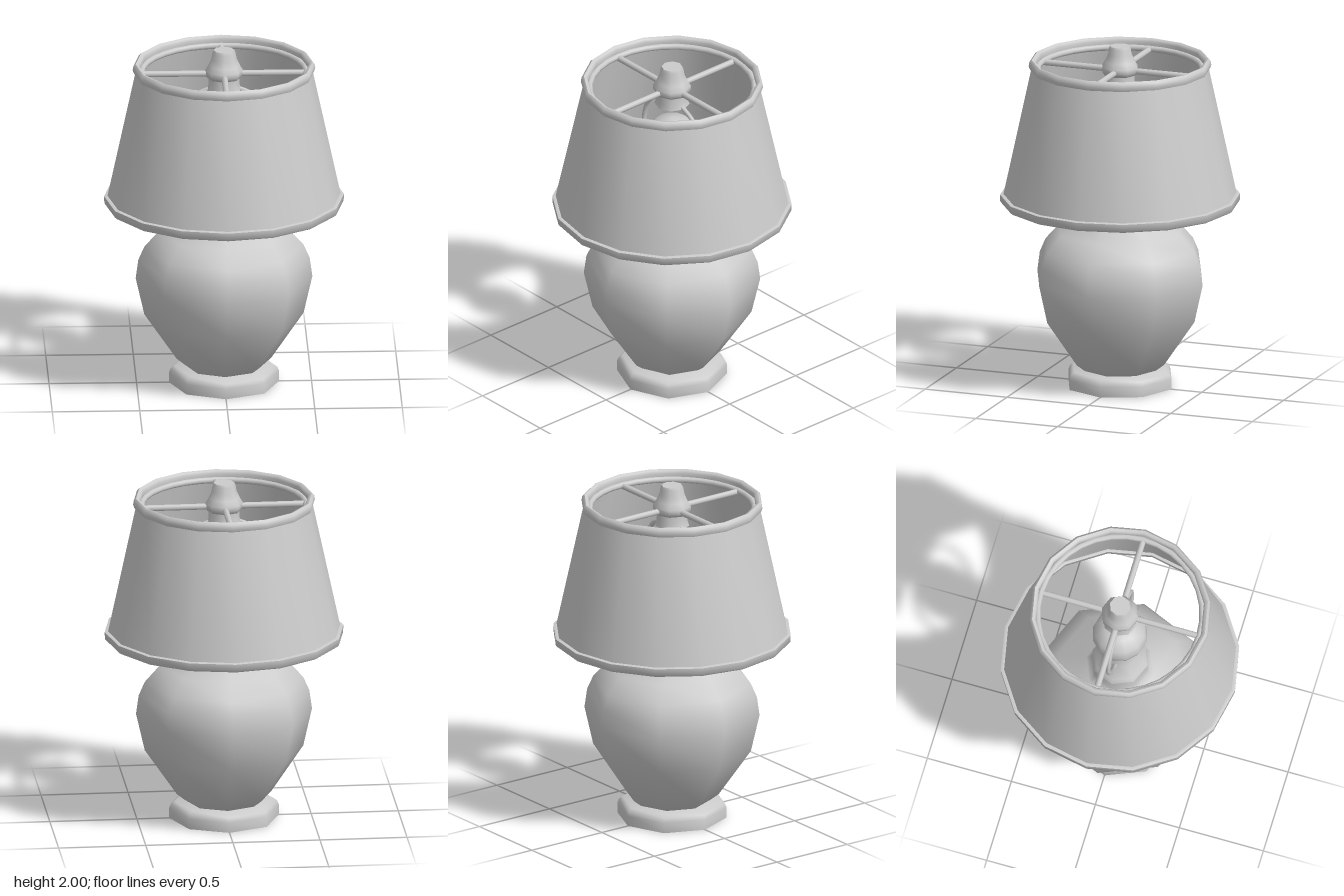
import * as THREE from 'three';
import { toCreasedNormals } from 'three/addons/utils/BufferGeometryUtils.js';

export function createModel() {
  const lamp = new THREE.Group();
  lamp.name = 'tableLamp';
  const grey = new THREE.MeshStandardMaterial({ color: 0xcccccc });
  const thin = new THREE.MeshStandardMaterial({ color: 0xcccccc, side: THREE.DoubleSide });

  const add = (name, geometry, material = grey) => {
    const mesh = new THREE.Mesh(geometry, material);
    mesh.name = name;
    lamp.add(mesh);
    return mesh;
  };
  // Turned part from a [radius, height] profile, listed bottom to top on the outside
  const turn = (name, profile, sides, material) => {
    const points = profile.map(([r, y]) => new THREE.Vector2(r, y));
    return add(name, toCreasedNormals(new THREE.LatheGeometry(points, sides), 1.05), material);
  };

  // Octagonal foot and vase body
  turn('base', [[0, 0], [0.315, 0], [0.315, 0.06], [0.305, 0.085], [0.285, 0.1], [0, 0.1]], 8);
  turn('body', [
    [0.2, 0.09], [0.225, 0.105], [0.27, 0.14], [0.455, 0.41], [0.505, 0.63], [0.49, 0.74],
    [0.455, 0.82], [0.37, 0.915], [0.2, 1.0], [0.175, 1.025], [0.165, 1.06], [0.165, 1.13],
  ], 8);

  // Socket and bulb
  turn('socket', [[0.165, 1.13], [0.15, 1.16], [0.1, 1.23], [0.1, 1.39], [0, 1.39]], 8);
  turn('bulb', [
    [0.08, 1.38], [0.1, 1.41], [0.145, 1.47], [0.16, 1.53], [0.145, 1.6], [0.09, 1.65], [0, 1.67],
  ], 12);

  // Harp: a wire loop from the socket up to the hub
  const half = [[0.09, 1.27], [0.14, 1.31], [0.22, 1.46], [0.24, 1.58], [0.19, 1.71], [0.08, 1.77]];
  const path = [...half, [0, 1.78], ...half.map(([x, y]) => [-x, y]).reverse()];
  const harpCurve = new THREE.CatmullRomCurve3(path.map(([x, y]) => new THREE.Vector3(x, y, 0)));
  add('harp', new THREE.TubeGeometry(harpCurve, 36, 0.014, 6));

  // Sixteen-sided shade with bound edges
  turn('shade', [[0.672, 1.1], [0.502, 1.89]], 16, thin);
  turn('shadeBottomTrim', [
    [0.655, 1.085], [0.672, 1.075], [0.684, 1.085], [0.685, 1.125], [0.668, 1.13], [0.65, 1.125], [0.655, 1.085],
  ], 16);
  turn('shadeTopTrim', [
    [0.488, 1.865], [0.515, 1.865], [0.522, 1.885], [0.518, 1.908], [0.505, 1.92],
    [0.49, 1.915], [0.482, 1.9], [0.488, 1.865],
  ], 16);

  // Wire ring and four arms carrying the shade
  const ring = add('shadeRing', new THREE.TorusGeometry(0.472, 0.018, 8, 32));
  ring.rotation.x = Math.PI / 2;
  ring.position.y = 1.865;
  for (let i = 0; i < 4; i++) {
    const arm = new THREE.CylinderGeometry(0.018, 0.018, 0.4, 8);
    arm.rotateZ(Math.PI / 2).translate(0.27, 1.86, 0).rotateY(i * Math.PI / 2);
    add('shadeArm', arm);
  }

  // Hub and finial
  turn('hub', [[0, 1.76], [0.1, 1.76], [0.09, 1.79], [0.09, 1.84], [0, 1.84]], 8);
  turn('finial', [
    [0, 1.835], [0.095, 1.835], [0.11, 1.855], [0.108, 1.88], [0.09, 1.91],
    [0.072, 1.95], [0.066, 1.985], [0.06, 2.0], [0, 2.0],
  ], 8);

  return lamp;
}
